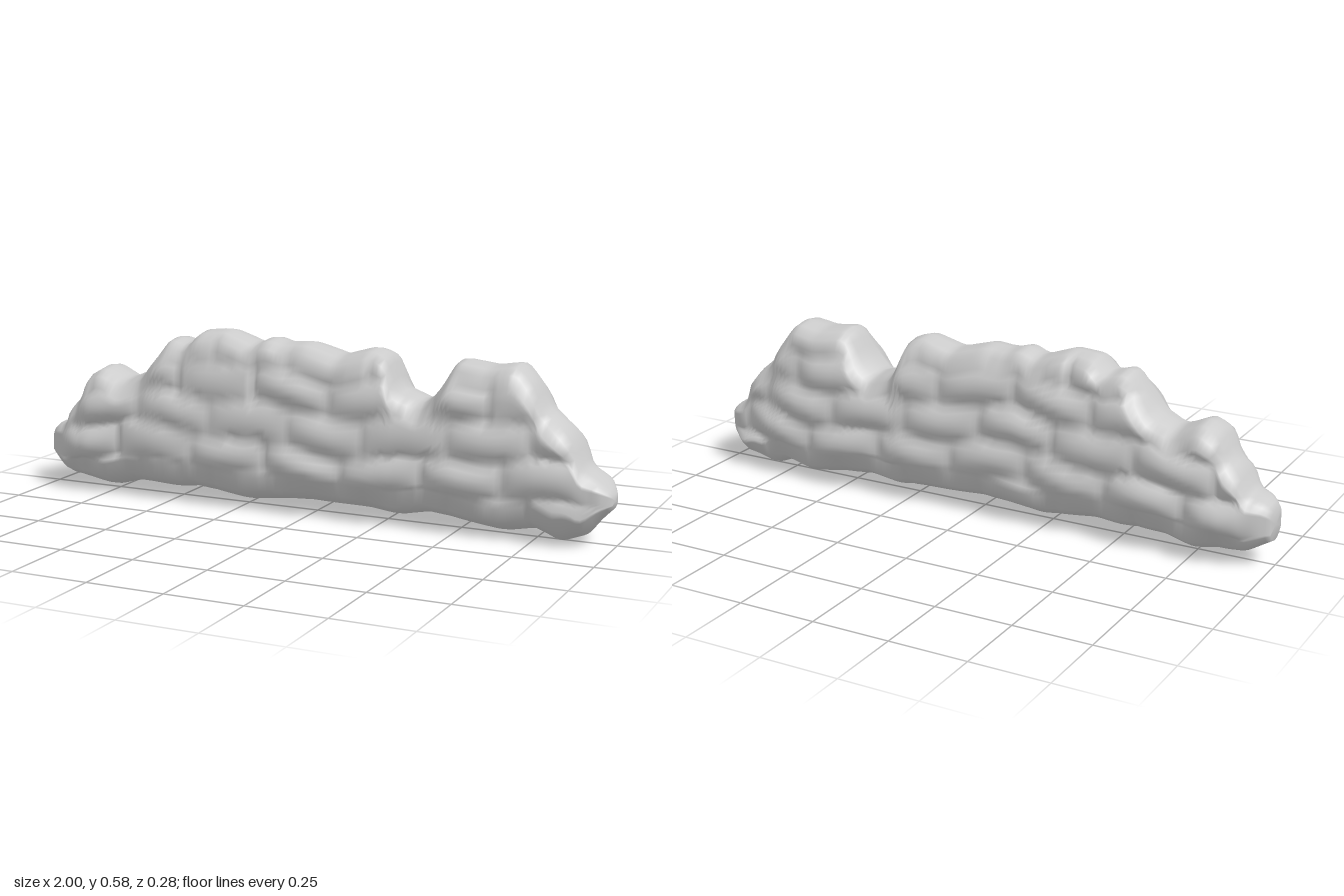
import * as THREE from 'three';

// Outline of the ruined wall: [x, y] along the crest and along the foot
const CREST = [[-1, .19], [-.98, .215], [-.91, .24], [-.9, .29], [-.84, .35], [-.83, .4], [-.77, .435], [-.68, .395], [-.6, .43],
  [-.51, .55], [-.44, .53], [-.4, .575], [-.31, .585], [-.2, .545], [-.15, .57], [-.1, .555], [-.02, .562], [.1, .528], [.21, .56],
  [.27, .535], [.29, .44], [.39, .405], [.44, .45], [.49, .545], [.6, .53], [.69, .545], [.75, .48], [.77, .42], [.85, .36],
  [.89, .3], [.9, .25], [.97, .205], [1, .175]];
const FOOT = [[-1, .09], [-.92, .04], [-.75, .015], [-.66, .04], [-.5, .035], [-.42, .045], [-.31, .03], [-.23, .02], [-.1, .035],
  [0, .04], [.2, .035], [.3, .025], [.4, .045], [.65, .012], [.75, .032], [.83, 0], [.92, .035], [.95, .08], [1, .13]];
// Depth of the two faces along x
const FRONT = [[-1, .03], [-.96, .07], [-.9, .1], [-.8, .122], [-.55, .13], [0, .12], [.6, .122], [.9, .112], [.96, .102], [1, .07]];
const BACK = [[-1, .06], [-.96, .088], [-.9, .105], [-.8, .118], [-.5, .108], [0, .11], [.6, .128], [.8, .11], [.92, .085], [.97, .065], [1, -.01]];

function sample(table, x) {
  for (let i = 1; i < table.length; i++) {
    const [x0, y0] = table[i - 1], [x1, y1] = table[i];
    if (x <= x1) return y0 + (y1 - y0) * (x - x0) / (x1 - x0);
  }
  return table[table.length - 1][1];
}

// Weathered outline: corners rounded by a short moving average
function worn(table, x) {
  const r = Math.min(.014, 1 - Math.abs(x));
  return (sample(table, x - r) + 2 * sample(table, x) + sample(table, x + r)) / 4;
}

function hash(a, b) {
  const s = Math.sin(a * 127.1 + b * 311.7) * 43758.5453;
  return s - Math.floor(s);
}

// Worn stones in staggered, wavering courses: a rounded dome per stone, each of its own height
function stoneBump(x, y, side) {
  const v = y / .12 + .16 * Math.sin(x * 5 + side) + .1 * Math.sin(x * 13);
  const row = Math.floor(v);
  const u = x / .27 + (row % 2) * .5 + hash(row, side) * .3;
  const across = Math.abs(Math.sin(Math.PI * u)), up = Math.abs(Math.sin(Math.PI * v));
  const dome = Math.pow(across, .6) * Math.pow(up, .75);
  const size = side > 0 ? .014 : .02;
  return (dome - .55) * (size + .03 * hash(Math.floor(u), row + side * 17));
}

// Half of the cross-section, from foot to crest: [depth fraction, height]
function halfSection(foot, crest) {
  const k = Math.min(1, (crest - foot) / .35);
  const pts = [[.35, foot + .012 * k], [.7, foot + .042 * k], [.95, foot + .09 * k]];
  const lo = foot + .09 * k, hi = crest - .065 * k, n = 18;
  for (let i = 1; i < n; i++) pts.push([1, lo + (hi - lo) * i / n]);
  pts.push([.97, hi], [.83, crest - .028 * k], [.5, crest - .008 * k]);
  return pts;
}

function section(x) {
  const foot = worn(FOOT, x), crest = worn(CREST, x);
  const half = halfSection(foot, crest);
  const mid = (sample(FRONT, x) - sample(BACK, x)) / 2;
  const fade = THREE.MathUtils.smoothstep(1 - Math.abs(x), 0, .16);
  const face = (sign, table) => half.map(([f, y]) => {
    const lean = 1 - .17 * THREE.MathUtils.smoothstep(y, .22, .55);
    const depth = worn(table, x) * lean + stoneBump(x, y, sign) * fade;
    return [x, y, mid + (sign * depth - mid) * f];
  });
  return [[x, foot, mid], ...face(1, FRONT), [x, crest, mid], ...face(-1, BACK).reverse()];
}

function wallGeometry() {
  const rings = [];
  for (let i = 0; i <= 140; i++) rings.push(section(-1 + i / 70));
  const n = rings[0].length, index = [];
  for (let i = 0; i < rings.length - 1; i++) {
    for (let j = 0; j < n; j++) {
      const a = i * n + j, d = i * n + (j + 1) % n;
      index.push(a, a + n, d + n, a, d + n, d);
    }
  }
  // Close both ends with a fan
  const points = rings.flat(), last = (rings.length - 1) * n, c = points.length;
  points.push([-1, .14, -.015], [1, .15, .04]);
  for (let j = 0; j < n; j++) {
    const k = (j + 1) % n;
    index.push(c, j, k, c + 1, last + k, last + j);
  }
  const g = new THREE.BufferGeometry();
  g.setAttribute('position', new THREE.Float32BufferAttribute(points.flat(), 3));
  g.setIndex(index);
  g.computeVertexNormals();
  return g;
}

export function createModel() {
  const model = new THREE.Group();
  model.name = 'ruinedStoneWall';
  const wall = new THREE.Mesh(wallGeometry(), new THREE.MeshStandardMaterial({ color: 0xcccccc }));
  wall.name = 'wall';
  model.add(wall);
  return model;
}
